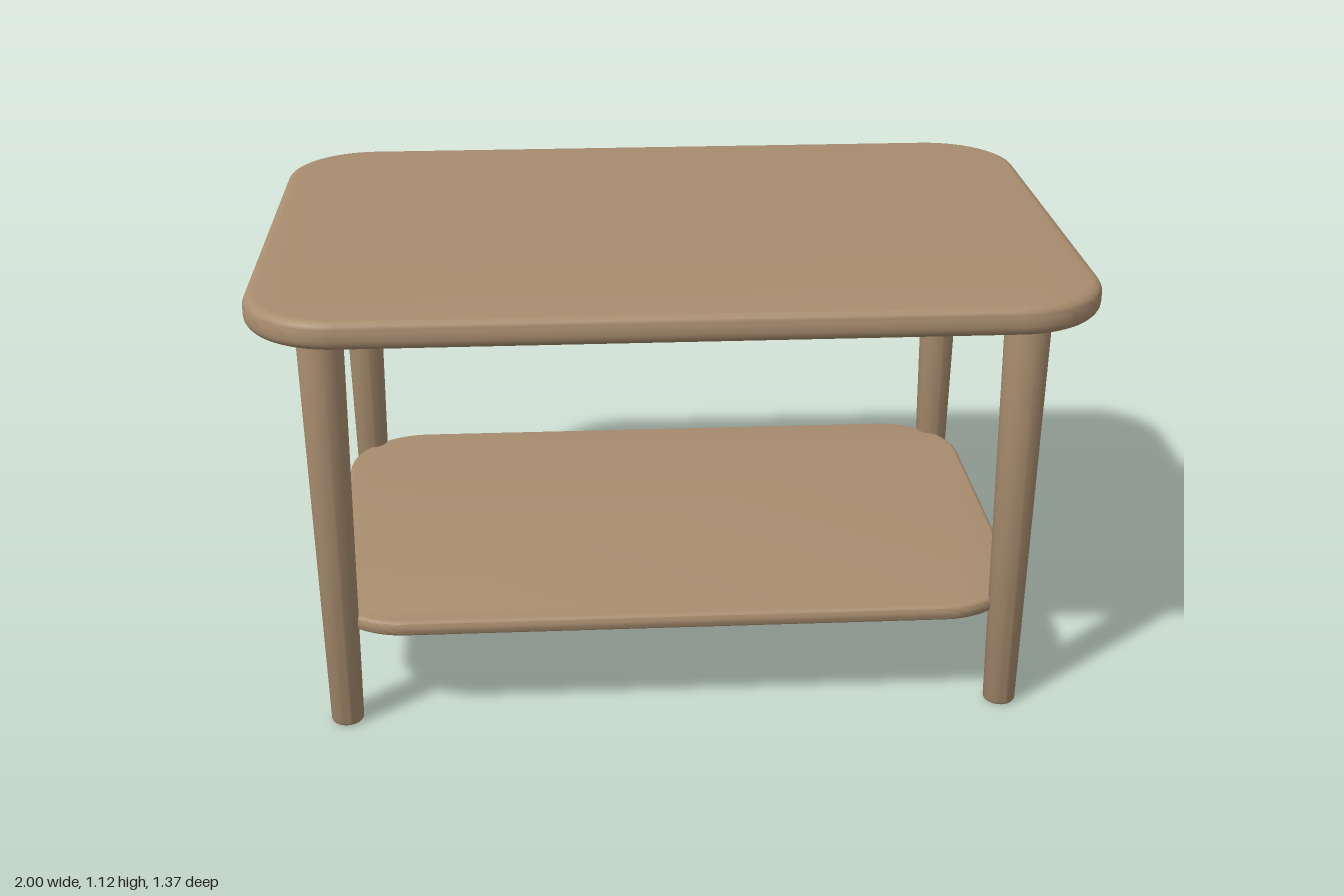
import * as THREE from 'three';
import { toCreasedNormals } from 'three/addons/utils/BufferGeometryUtils.js';

// Horizontal slab with rounded corners and a softened rim
function slab(halfX, halfZ, corner, y0, y1, edge) {
  const x = halfX - edge, z = halfZ - edge, r = corner - edge;
  const s = new THREE.Shape();
  s.moveTo(-x + r, -z);
  s.lineTo(x - r, -z);
  s.absarc(x - r, -z + r, r, -Math.PI / 2, 0);
  s.absarc(x - r, z - r, r, 0, Math.PI / 2);
  s.absarc(-x + r, z - r, r, Math.PI / 2, Math.PI);
  s.absarc(-x + r, -z + r, r, Math.PI, Math.PI * 1.5);
  const geo = new THREE.ExtrudeGeometry(s, {
    depth: y1 - y0 - 2 * edge, bevelEnabled: true, bevelSize: edge,
    bevelThickness: edge, bevelSegments: 5, curveSegments: 14,
  });
  geo.rotateX(-Math.PI / 2);
  geo.translate(0, y0 + edge, 0);
  return toCreasedNormals(geo, 0.6);
}

// Round tapered leg with softened ends
function legGeometry(height, rBottom, rTop, edge) {
  const pts = [new THREE.Vector2(0, 0)];
  for (let i = 0; i <= 4; i++) {
    const a = (i / 4) * Math.PI / 2;
    pts.push(new THREE.Vector2(rBottom - edge + edge * Math.sin(a), edge - edge * Math.cos(a)));
  }
  for (let i = 0; i <= 4; i++) {
    const a = (i / 4) * Math.PI / 2;
    pts.push(new THREE.Vector2(rTop - edge + edge * Math.cos(a), height - edge + edge * Math.sin(a)));
  }
  pts.push(new THREE.Vector2(0, height));
  return toCreasedNormals(new THREE.LatheGeometry(pts, 32), 0.6);
}

export function createModel() {
  const table = new THREE.Group();
  table.name = 'table';
  const wood = new THREE.MeshStandardMaterial({ color: 0xa88c6e });
  wood.name = 'wood';

  const add = (name, geo, x = 0, z = 0) => {
    const mesh = new THREE.Mesh(geo, wood);
    mesh.name = name;
    mesh.position.set(x, 0, z);
    table.add(mesh);
  };

  add('tabletop', slab(1, 0.685, 0.225, 1.055, 1.125, 0.025), 0, 0);
  add('lowerShelf', slab(0.873, 0.563, 0.21, 0.255, 0.295, 0.014), 0, 0);

  // Four legs, mirrored
  const leg = legGeometry(1.058, 0.04, 0.055, 0.009);
  for (const sx of [1, -1]) {
    for (const sz of [1, -1]) {
      add((sz > 0 ? 'front' : 'back') + (sx > 0 ? 'Left' : 'Right') + 'Leg', leg, sx * 0.825, sz * 0.515);
    }
  }
  return table;
}
